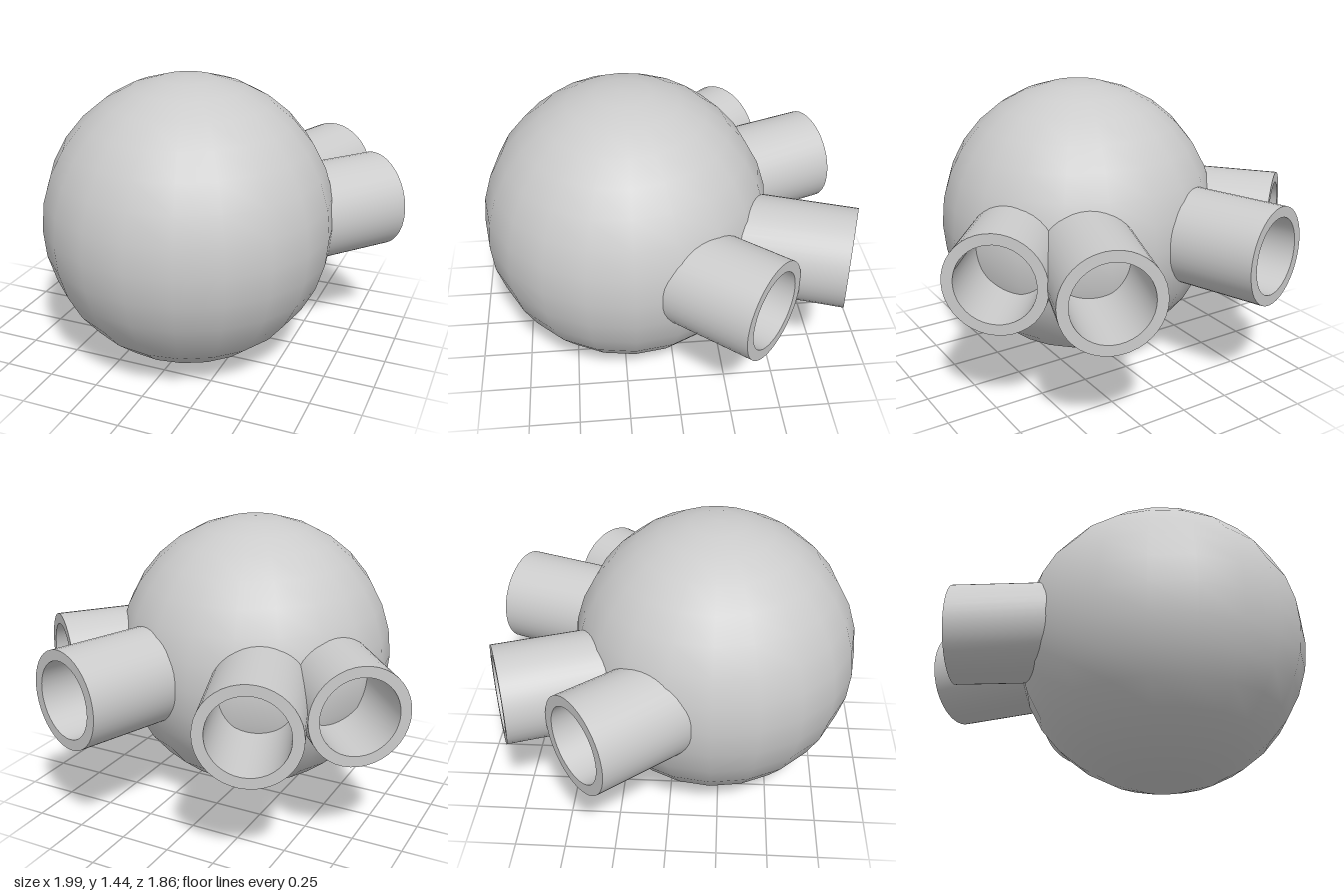
import * as THREE from 'three';
import { toCreasedNormals } from 'three/addons/utils/BufferGeometryUtils.js';

const grey = new THREE.MeshStandardMaterial({ color: 0xcccccc });
const CENTRE_Y = 0.72;

// Hollow pipe whose open end is centred on (x, z) and points away from -z by the given angle
function makePipe(name, x, z, degrees) {
  const outer = 0.243, inner = 0.19, length = 0.58;
  const ring = new THREE.Shape().absarc(0, 0, outer, 0, Math.PI * 2, false);
  ring.holes.push(new THREE.Path().absarc(0, 0, inner, 0, Math.PI * 2, true));
  const extruded = new THREE.ExtrudeGeometry(ring, { depth: length, bevelEnabled: false, curveSegments: 20 });
  const geometry = toCreasedNormals(extruded.translate(0, 0, -length), 0.7);
  const pipe = new THREE.Mesh(geometry, grey);
  pipe.name = name;
  pipe.position.set(x, CENTRE_Y, z);
  pipe.rotation.y = Math.PI - THREE.MathUtils.degToRad(degrees);
  return pipe;
}

export function createModel() {
  const model = new THREE.Group();
  model.name = 'sphereWithPipes';

  // Main body
  const body = new THREE.Mesh(new THREE.SphereGeometry(0.718, 20, 16), grey);
  body.name = 'body';
  body.position.set(0.01, CENTRE_Y, 0.208);
  model.add(body);

  // Four pipes fanned out at the back
  model.add(
    makePipe('leftOuterPipe', 0.807, -0.412, 40),
    makePipe('leftInnerPipe', 0.473, -0.85, 20),
    makePipe('rightInnerPipe', -0.463, -0.82, -20),
    makePipe('rightOuterPipe', -0.814, -0.405, -40),
  );
  return model;
}
